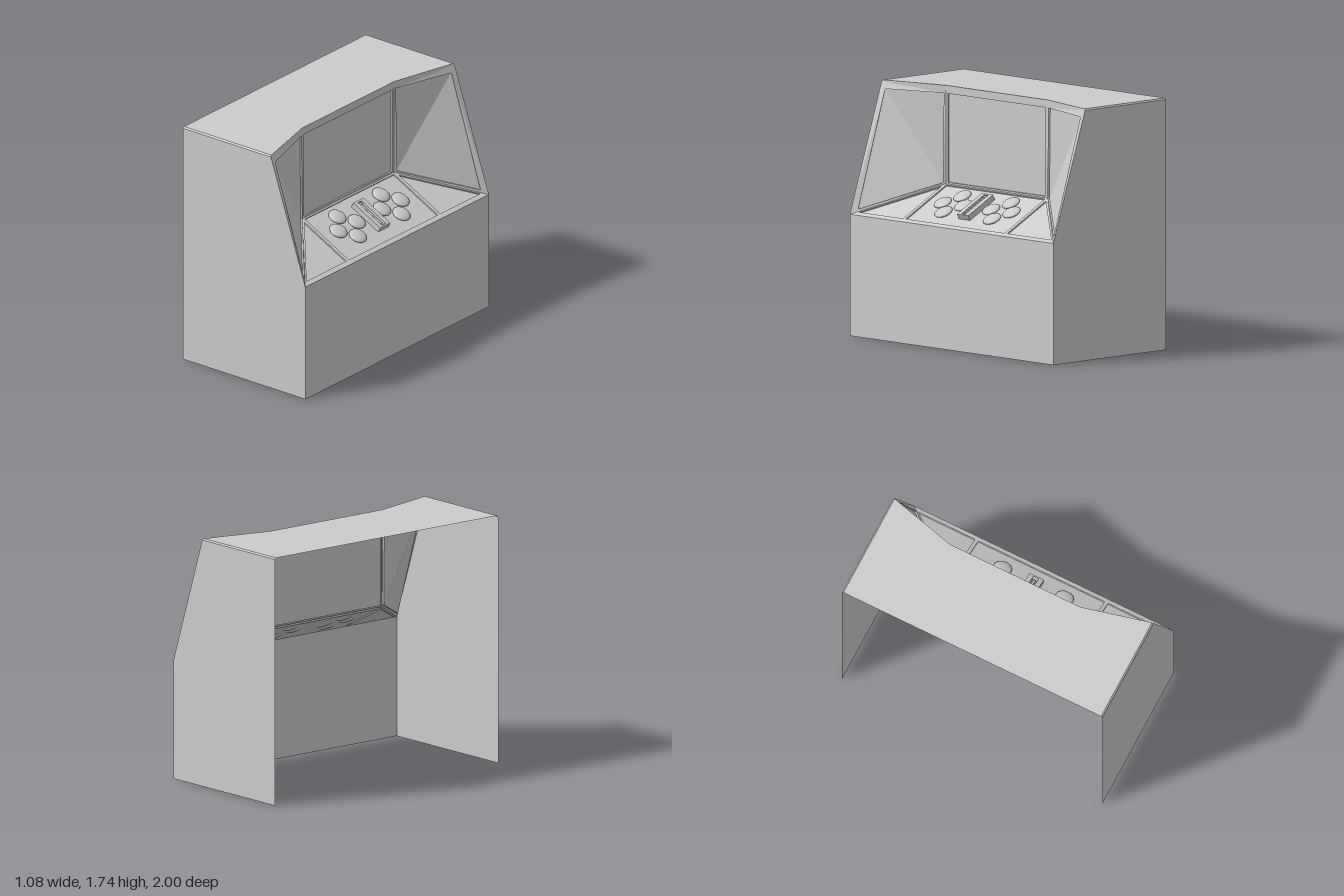
import * as THREE from 'three';

const material = new THREE.MeshStandardMaterial({ color: 0xcccccc, side: THREE.DoubleSide });

// Key dimensions (the console faces +x)
const BACK = -0.59, FRONT = 0.485, TOP = 1.74, LEDGE = 0.84;
const SCREEN_X = 0.055, SCREEN_Y = 1.06, SCREEN_Z = 0.5, ROOF_X = 0.178, BEVEL = 0.01;
const V = (x, y, z) => new THREE.Vector3(x, y, z);

function mesh(name, geometry) {
  const m = new THREE.Mesh(geometry, material);
  m.name = name;
  return m;
}

// Flat-shaded sheet made from polygons, each fanned from its first corner
function sheet(name, ...polygons) {
  const points = [];
  for (const p of polygons)
    for (let i = 1; i < p.length - 1; i++) points.push(p[0], p[i], p[i + 1]);
  const g = new THREE.BufferGeometry().setFromPoints(points);
  g.computeVertexNormals();
  return mesh(name, g);
}

// Panel with a raised rim, a small step and a sunken centre
function insetPanel(name, outer, inner, sink) {
  const low = inner.map(p => p.clone().add(sink));
  const polygons = [low];
  outer.forEach((p, i) => {
    const j = (i + 1) % outer.length;
    polygons.push([p, outer[j], inner[j], inner[i]], [inner[i], inner[j], low[j], low[i]]);
  });
  return sheet(name, ...polygons);
}

// Height of the sloping control deck at a given x
const deckY = x => SCREEN_Y + (x - SCREEN_X) * (LEDGE - SCREEN_Y) / (FRONT - SCREEN_X);
const deck = (x, z) => V(x, deckY(x), z);
const TILT = Math.atan2(LEDGE - SCREEN_Y, FRONT - SCREEN_X);
const deckNormal = V(-Math.sin(TILT), Math.cos(TILT), 0);

function createCabinet() {
  const g = new THREE.Group();
  g.name = 'cabinet';
  const t = TOP - BEVEL, e = 1 - BEVEL;
  g.add(sheet('frontPanel', [V(FRONT, 0, 1), V(FRONT, 0, -1), V(FRONT, LEDGE, -1), V(FRONT, LEDGE, 1)]));
  g.add(sheet('roof', [
    V(BACK, TOP, -e), V(BACK, TOP, e), V(ROOF_X, TOP, e),
    V(SCREEN_X, TOP, SCREEN_Z), V(SCREEN_X, TOP, -SCREEN_Z), V(ROOF_X, TOP, -e),
  ]));
  for (const s of [1, -1]) {
    g.add(sheet('lowerSide', [V(BACK, 0, s), V(FRONT, 0, s), V(FRONT, LEDGE, s), V(BACK, LEDGE, s)]));
    g.add(sheet('upperSide', [V(BACK, LEDGE, s), V(FRONT, LEDGE, s), V(ROOF_X + 0.005, t, s), V(BACK, t, s)]));
    // Narrow chamfer along the side and front edge of the roof
    g.add(sheet('roofChamfer',
      [V(BACK, t, s), V(ROOF_X + 0.005, t, s), V(ROOF_X, TOP, e * s), V(BACK, TOP, e * s)],
      [V(ROOF_X + 0.005, t, s), V(SCREEN_X, t, SCREEN_Z * s), V(SCREEN_X, TOP, SCREEN_Z * s), V(ROOF_X, TOP, e * s)]));
  }
  return g;
}

function createRecess() {
  const g = new THREE.Group();
  g.name = 'screenRecess';
  const t = TOP - BEVEL;

  // Upright screen
  const rect = (z, y0, y1) => [V(SCREEN_X, y0, z), V(SCREEN_X, y0, -z), V(SCREEN_X, y1, -z), V(SCREEN_X, y1, z)];
  g.add(insetPanel('screen', rect(SCREEN_Z, SCREEN_Y, TOP), rect(0.48, 1.072, 1.685), V(-0.012, 0, 0)));

  // Flared cheeks joining the screen to the sides
  for (const s of [1, -1]) {
    const a = V(SCREEN_X, SCREEN_Y, SCREEN_Z * s), b = V(FRONT, LEDGE, s);
    const c = V(ROOF_X + 0.005, t, s), d = V(SCREEN_X, t, SCREEN_Z * s);
    const at = (u, v) => a.clone().lerp(b, u).lerp(d.clone().lerp(c, u), v);
    g.add(insetPanel('cheek', [a, b, c, d],
      [at(0.03, 0.02), at(0.92, 0.02), at(0.92, 0.945), at(0.03, 0.935)], V(-0.009, 0, 0.007 * s)));
  }

  // Sloping control deck: centre panel and two triangular ends
  const sink = deckNormal.clone().multiplyScalar(-0.01);
  const area = (x0, x1, z) => [deck(x0, z), deck(x1, z), deck(x1, -z), deck(x0, -z)];
  g.add(insetPanel('controlDeck', area(SCREEN_X, FRONT, SCREEN_Z), area(0.066, 0.452, 0.485), sink));
  for (const s of [1, -1])
    g.add(insetPanel('deckEnd',
      [deck(SCREEN_X, SCREEN_Z * s), deck(FRONT, SCREEN_Z * s), deck(FRONT, s)],
      [deck(0.085, 0.512 * s), deck(0.452, 0.512 * s), deck(0.452, 0.945 * s)], sink));
  return g;
}

// Place a part on the deck surface, aligned with its slope
function onDeck(part, x, z) {
  part.position.copy(deck(x, z));
  part.rotation.z = TILT;
  return part;
}

function createControls() {
  const g = new THREE.Group();
  g.name = 'controls';

  // Two diamonds of four domed buttons
  const dome = new THREE.SphereGeometry(0.065, 32, 16).scale(1, 0.32, 1);
  for (const s of [1, -1])
    for (const [dx, dz] of [[0, 0.1], [0, -0.1], [-0.09, 0], [0.09, 0]])
      g.add(onDeck(mesh('button', dome), 0.242 + dx, s * 0.238 + dz));

  // Central slotted block with a slim bar in its slot
  const block = new THREE.Group();
  block.name = 'sliderBlock';
  const outline = (P, hx, hz) => new P([[-hx, -hz], [hx, -hz], [hx, hz], [-hx, hz]].map(p => new THREE.Vector2(...p)));
  const shape = outline(THREE.Shape, 0.133, 0.055);
  shape.holes.push(outline(THREE.Path, 0.12, 0.02));
  const body = mesh('sliderBody', new THREE.ExtrudeGeometry(shape, { depth: 0.04, bevelEnabled: false }));
  body.rotation.x = -Math.PI / 2;
  body.position.y = -0.01;
  const bar = mesh('sliderBar', new THREE.BoxGeometry(0.21, 0.025, 0.016));
  bar.position.y = 0.008;
  const knob = mesh('sliderKnob', new THREE.BoxGeometry(0.014, 0.03, 0.036));
  knob.position.set(-0.105, 0.01, 0);
  block.add(body, bar, knob);
  g.add(onDeck(block, 0.249, 0));
  return g;
}

export function createModel() {
  const model = new THREE.Group();
  model.name = 'arcadeConsole';
  model.add(createCabinet(), createRecess(), createControls());
  return model;
}
